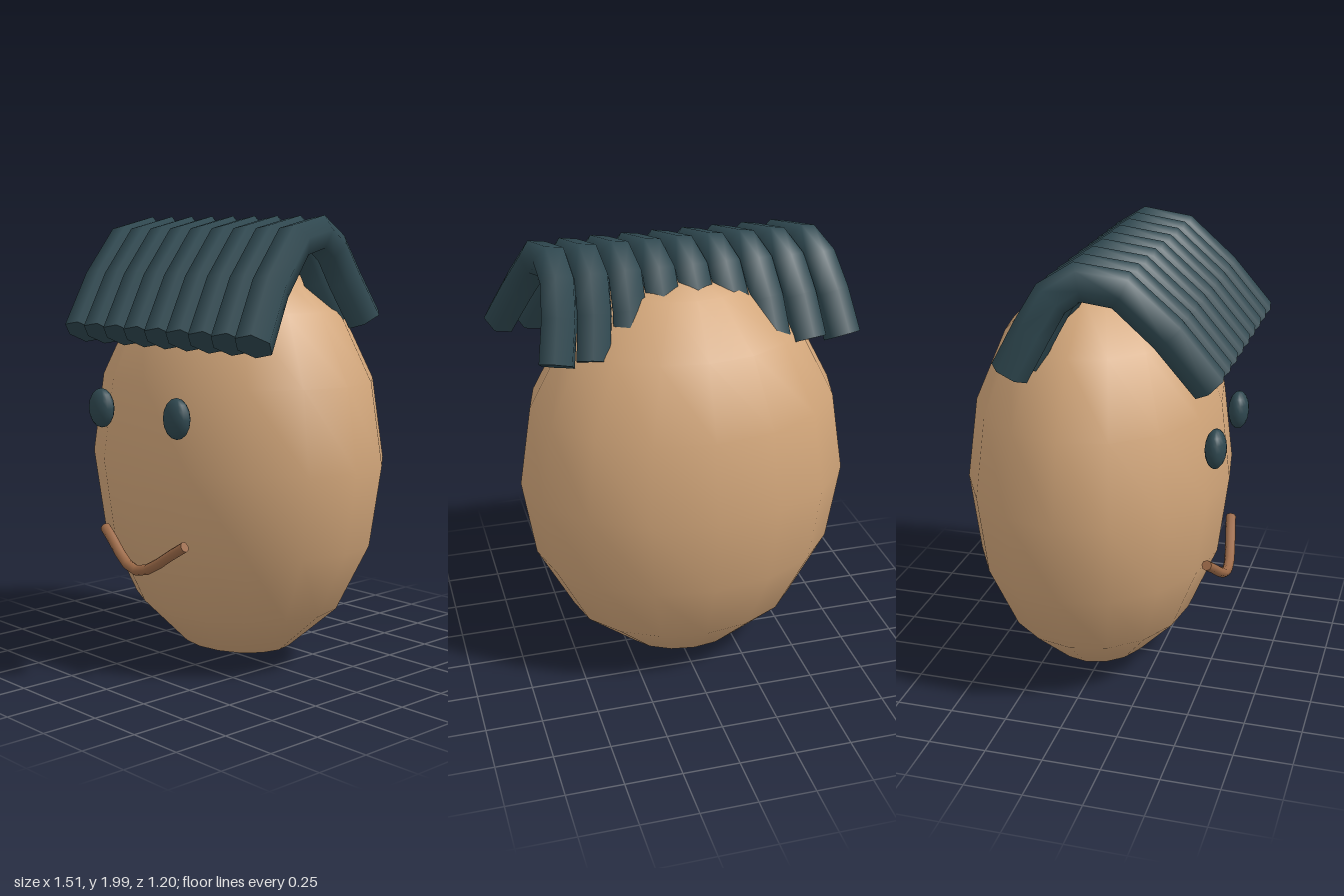
import * as THREE from 'three';
import { mergeGeometries } from 'three/addons/utils/BufferGeometryUtils.js';

// Tube with one ring per control step and flat caps on both ends
function cappedTube(points, segments, radius, sides) {
  const curve = new THREE.CatmullRomCurve3(points);
  curve.getUtoTmapping = (u) => u;
  const tube = new THREE.TubeGeometry(curve, segments, radius, sides, false);
  const ring = (i, j) =>
    new THREE.Vector3().fromBufferAttribute(tube.attributes.position, i * (sides + 1) + j);
  const corners = [];
  for (let j = 0; j < sides; j++) {
    corners.push(points[0], ring(0, j), ring(0, j + 1));
    corners.push(points[points.length - 1], ring(segments, j + 1), ring(segments, j));
  }
  const caps = new THREE.BufferGeometry().setFromPoints(corners);
  caps.computeVertexNormals();
  const body = tube.toNonIndexed();
  body.deleteAttribute('uv');
  return mergeGeometries([body, caps]);
}

function ellipsoid(rx, ry, rz) {
  return new THREE.SphereGeometry(1, 16, 8).scale(rx, ry, rz);
}

export function createModel() {
  const skin = new THREE.MeshStandardMaterial({ name: 'skin', color: 0xd2a67a });
  const dark = new THREE.MeshStandardMaterial({ name: 'darkTeal', color: 0x2f4850 });
  const lip = new THREE.MeshStandardMaterial({ name: 'lipBrown', color: 0x9c6a48 });

  const model = new THREE.Group();
  const add = (name, geometry, material, x = 0, y = 0, z = 0) => {
    const mesh = new THREE.Mesh(geometry, material);
    mesh.name = name;
    mesh.position.set(x, y, z);
    model.add(mesh);
  };

  // Egg-shaped head
  add('head', ellipsoid(0.735, 0.93, 0.58), skin, -0.02, 0.935, -0.02);

  // Eyes
  add('rightEye', ellipsoid(0.07, 0.087, 0.046), dark, -0.275, 1.168, 0.545);
  add('leftEye', ellipsoid(0.07, 0.087, 0.046), dark, 0.23, 1.168, 0.545);

  // Smiling mouth
  const smile = [[-0.29, 0.63, 0.523], [-0.02, 0.488, 0.565], [0.25, 0.63, 0.523]]
    .map((p) => new THREE.Vector3(...p));
  add('mouth', cappedTube(smile, 8, 0.023, 8), lip);

  // Hair strands arching from the fringe over the crown, [z, y] along each strand
  const arch = [[0.542, 1.492], [0.38, 1.71], [0.2, 1.89], [0.035, 1.922],
    [-0.06, 1.86], [-0.13, 1.73], [-0.215, 1.56]];
  for (let i = 0; i < 9; i++) {
    const front = -0.415 + i * 0.1372;
    const crown = -0.573 + i * 0.1378;
    const back = -0.68 + i * 0.156;
    const points = arch.map(([z, y], k) => {
      const t = k / (arch.length - 1);
      const x = front * 2 * (t - 0.5) * (t - 1) - crown * 4 * t * (t - 1) + back * 2 * t * (t - 0.5);
      return new THREE.Vector3(x, y, z);
    });
    add('hairStrand' + (i + 1), cappedTube(points, 6, 0.08, 6), dark);
  }

  return model;
}
